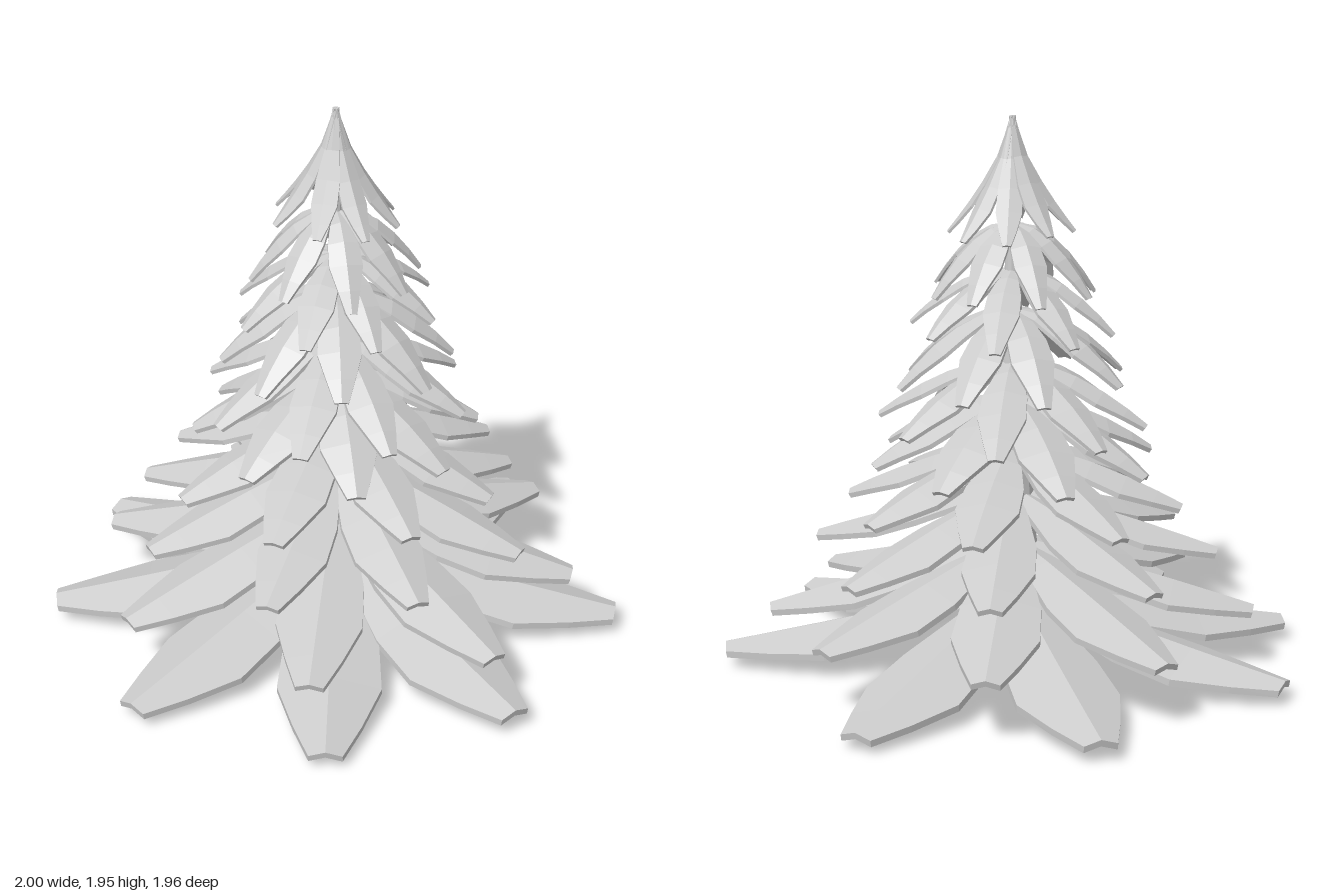
import * as THREE from 'three';

const material = new THREE.MeshStandardMaterial({ color: 0xcccccc, flatShading: true });

// Small seeded generator in the range -1..1
let seed = 7;
function jitter() {
  seed = (seed * 16807) % 2147483647;
  return (seed / 2147483647) * 2 - 1;
}

// Half-width fraction along the branch: narrow root, broad middle, clipped tip
const STATIONS = [[0, 0.2], [0.22, 0.58], [0.45, 0.92], [0.66, 1], [0.85, 0.65], [1, 0.32]];

// One folded, drooping branch pointing along +x, built from roof-shaped sections
function branchGeometry({ r0, r1, y0, y1, width, thick, bend }) {
  const pos = [], index = [];
  const point = (t) => [r0 + (r1 - r0) * t, y0 + (y1 - y0) * Math.pow(t, bend)];
  for (const [t, w] of STATIONS) {
    const [x, y] = point(t);
    const [xa, ya] = point(Math.max(0, t - 0.05));
    const [xb, yb] = point(Math.min(1, t + 0.05));
    const len = Math.hypot(xb - xa, yb - ya);
    const nx = -(yb - ya) / len, ny = (xb - xa) / len;
    const half = width * w / 2;
    const fold = half * 0.32;
    // left top, ridge top, right top, right under, ridge under, left under
    for (const [z, d] of [[half, -fold], [0, 0], [-half, -fold],
      [-half, -fold - thick], [0, -thick], [half, -fold - thick]]) {
      pos.push(x + nx * d, y + ny * d, z);
    }
  }
  const last = STATIONS.length - 1;
  for (let i = 0; i < last; i++) {
    for (let j = 0; j < 6; j++) {
      const a = i * 6 + j, b = i * 6 + (j + 1) % 6;
      index.push(a, a + 6, b, b, a + 6, b + 6);
    }
  }
  // End caps, two quads each because the section is concave
  const e = last * 6;
  index.push(0, 1, 4, 0, 4, 5, 1, 2, 3, 1, 3, 4);
  index.push(e, e + 4, e + 1, e, e + 5, e + 4, e + 1, e + 3, e + 2, e + 1, e + 4, e + 3);
  const g = new THREE.BufferGeometry();
  g.setAttribute('position', new THREE.Float32BufferAttribute(pos, 3));
  g.setIndex(index);
  const flat = g.toNonIndexed();
  flat.computeVertexNormals();
  return flat;
}

// Tiers from the ground up; angles run from +x towards +z, in degrees
const TIERS = [
  { r1: 1.02, y0: 0.3, y1: 0.075, width: 0.36, thick: 0.024, bend: 0.85, angles: [36, 75, 116, 159, 199, 248, 294, 352] },
  { r1: 0.86, y0: 0.46, y1: 0.23, width: 0.3, thick: 0.022, bend: 1.1, angles: [34, 79, 130, 179, 228, 270, 312, 352] },
  { r1: 0.72, y0: 0.64, y1: 0.43, width: 0.25, thick: 0.02, bend: 1.2, angles: [10, 50, 92, 137, 180, 222, 270, 315] },
  { r1: 0.6, y0: 0.8, y1: 0.6, width: 0.22, thick: 0.018, bend: 1.5, start: 4 },
  { r1: 0.51, y0: 0.97, y1: 0.75, width: 0.2, thick: 0.016, bend: 1.75, start: 22 },
  { r1: 0.475, y0: 1.1, y1: 0.88, width: 0.165, thick: 0.014, bend: 1.75, start: 2 },
  { r1: 0.41, y0: 1.28, y1: 1.04, width: 0.15, thick: 0.013, bend: 1.9, start: 22 },
  { r1: 0.36, y0: 1.42, y1: 1.21, width: 0.125, thick: 0.011, bend: 1.9, start: 2 },
  { r1: 0.3, y0: 1.58, y1: 1.34, width: 0.115, thick: 0.01, bend: 1.9, start: 20 },
  { r1: 0.225, y0: 1.95, y1: 1.555, width: 0.09, thick: 0.009, bend: 0.7, start: 3, r0: 0.003 },
];

// Trunk profile: radius, height
const TRUNK = [[0, 0], [0.115, 0], [0.09, 0.4], [0.062, 0.8], [0.036, 1.2], [0.02, 1.6], [0, 1.9]];

export function createModel() {
  const tree = new THREE.Group();
  tree.name = 'pineTree';

  // Tapered trunk
  const profile = TRUNK.map(([r, y]) => new THREE.Vector2(r, y));
  const trunk = new THREE.Mesh(new THREE.LatheGeometry(profile, 12), material);
  trunk.name = 'trunk';
  trunk.position.set(-0.02, 0, -0.02);
  tree.add(trunk);

  // Rings of branches, slightly irregular
  TIERS.forEach((tier, i) => {
    const ring = new THREE.Group();
    ring.name = i === TIERS.length - 1 ? 'crownTier' : `branchTier${i + 1}`;
    ring.position.set(-0.02, 0, -0.02);
    for (let k = 0; k < 8; k++) {
      const angle = tier.angles ? tier.angles[k] : tier.start + k * 45 + jitter() * 4;
      const branch = new THREE.Mesh(branchGeometry({
        ...tier,
        r0: tier.r0 ?? 0.02,
        r1: tier.r1 * (1 + jitter() * 0.01),
        y1: tier.y1 + jitter() * 0.015,
      }), material);
      branch.name = 'branch';
      branch.rotation.y = -THREE.MathUtils.degToRad(angle);
      ring.add(branch);
    }
    tree.add(ring);
  });
  return tree;
}
